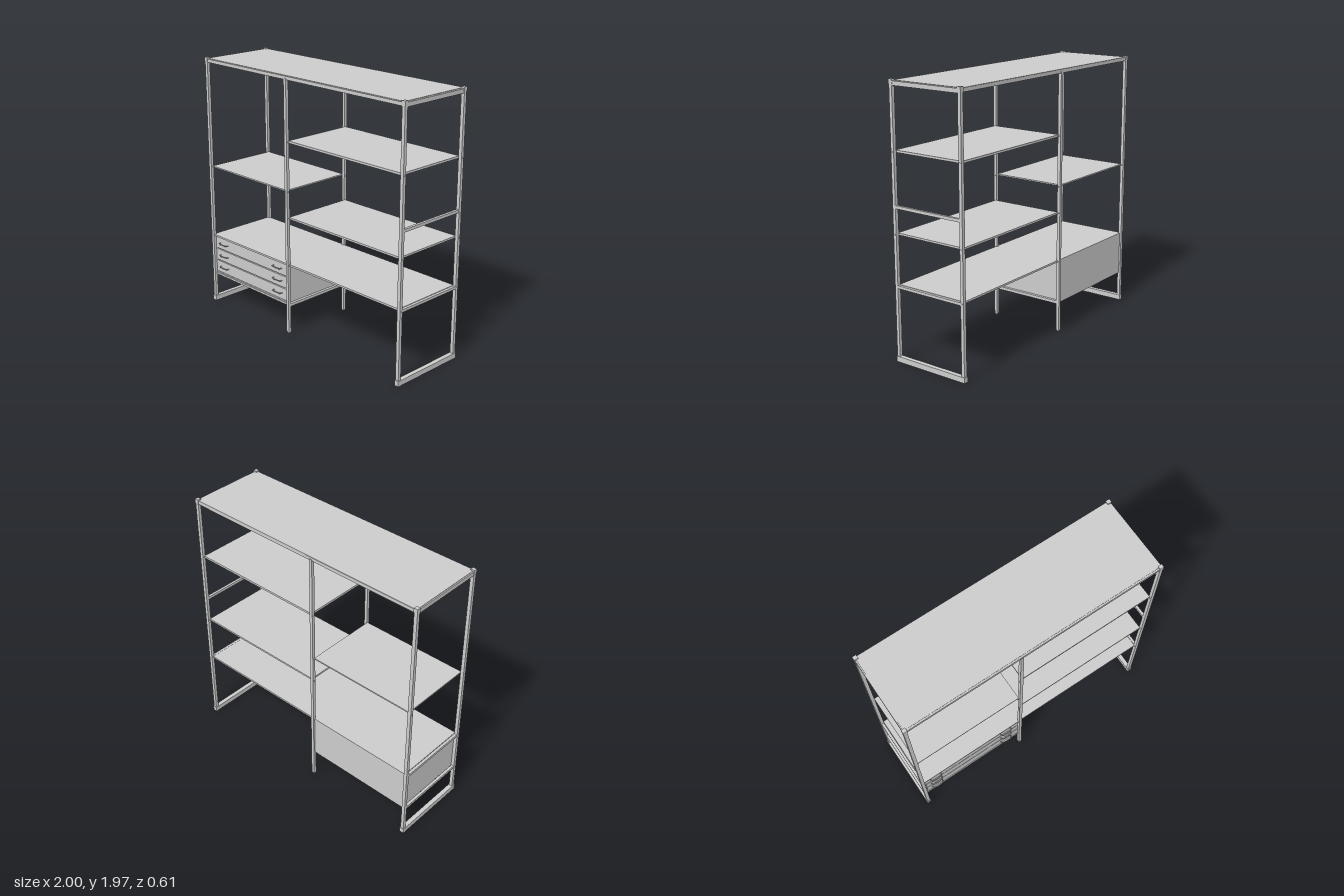
import * as THREE from 'three';

const metal = new THREE.MeshStandardMaterial({ color: 0xcccccc });
metal.name = 'light grey';

// Box given by its limits on each axis
function box(parent, name, x0, x1, y0, y1, z0, z1) {
  const mesh = new THREE.Mesh(new THREE.BoxGeometry(x1 - x0, y1 - y0, z1 - z0), metal);
  mesh.position.set((x0 + x1) / 2, (y0 + y1) / 2, (z0 + z1) / 2);
  mesh.name = name;
  parent.add(mesh);
  return mesh;
}

function group(parent, name) {
  const g = new THREE.Group();
  g.name = name;
  parent.add(g);
  return g;
}

// Thin sheet with turned-down edges and optional ribs underneath
function shelf(parent, name, x0, x1, top, lip, ribs) {
  const g = group(parent, name);
  const z = 0.285;
  box(g, 'shelfSheet', x0, x1, top - 0.005, top, -z, z);
  for (const s of [-1, 1]) {
    const a = s * z, b = s * (z - 0.007);
    box(g, 'shelfLip', x0, x1, top - lip, top - 0.005, Math.min(a, b), Math.max(a, b));
  }
  box(g, 'shelfLip', x0, x0 + 0.007, top - lip, top - 0.005, -z + 0.007, z - 0.007);
  box(g, 'shelfLip', x1 - 0.007, x1, top - lip, top - 0.005, -z + 0.007, z - 0.007);
  for (let i = 1; i <= ribs; i++) {
    const x = x0 + (x1 - x0) * i / (ribs + 1);
    box(g, 'shelfRib', x - 0.004, x + 0.004, top - 0.01, top - 0.005, -z + 0.007, z - 0.007);
  }
  // Support pegs at the posts
  for (const x of [x0 - 0.012, x1 + 0.012]) {
    for (const s of [-1, 1]) {
      const peg = new THREE.Mesh(new THREE.CylinderGeometry(0.005, 0.005, 0.034, 10), metal);
      peg.rotation.z = Math.PI / 2;
      peg.position.set(x, top - 0.008, s * 0.287);
      peg.name = 'shelfPeg';
      g.add(peg);
    }
  }
}

export function createModel() {
  const root = new THREE.Group();
  root.name = 'shelvingUnit';
  const endX = 0.983, midX = -0.112;

  // End frames: posts, foot rails and top rails
  for (const s of [-1, 1]) {
    const frame = group(root, s > 0 ? 'leftEndFrame' : 'rightEndFrame');
    const c = s * endX;
    for (const t of [-1, 1]) {
      box(frame, 'cornerPost', c - 0.013, c + 0.013, 0.04, 1.955, t * 0.288 - 0.012, t * 0.288 + 0.012);
      box(frame, 'postCap', c - 0.015, c + 0.015, 1.935, 1.967, t * 0.288 - 0.014, t * 0.288 + 0.014);
    }
    box(frame, 'footRail', c - 0.017, c + 0.017, 0, 0.04, -0.304, 0.304);
    box(frame, 'topEndRail', c - 0.011, c + 0.011, 1.925, 1.955, -0.276, 0.276);
  }
  box(root, 'endBrace', endX - 0.01, endX + 0.01, 1.1, 1.122, -0.276, 0.276);
  for (const y of [0.225, 0.538]) {
    box(root, 'endBrace', -endX - 0.01, -endX + 0.01, y, y + 0.02, -0.276, 0.276);
  }
  box(root, 'endBrace', endX - 0.01, endX + 0.01, 0.538, 0.558, -0.276, 0.276);

  // Middle frame with rounded feet
  const mid = group(root, 'middleFrame');
  for (const t of [-1, 1]) {
    box(mid, 'middlePost', midX - 0.012, midX + 0.012, 0.015, 1.94, t * 0.288 - 0.012, t * 0.288 + 0.012);
    const foot = new THREE.Mesh(new THREE.CylinderGeometry(0.011, 0.008, 0.012, 12), metal);
    foot.position.set(midX, 0.011, t * 0.288);
    foot.name = 'middleFoot';
    mid.add(foot);
  }
  for (const y of [0.222, 0.535, 1.925]) {
    box(mid, 'middleCrossRail', midX - 0.011, midX + 0.011, y, y + 0.022, -0.276, 0.276);
  }

  // Top panel on its long rails
  const topGroup = group(root, 'top');
  box(topGroup, 'topPanel', -0.985, 0.975, 1.952, 1.958, -0.295, 0.285);
  for (const t of [-1, 1]) {
    box(topGroup, 'topLongRail', -0.97, 0.97, 1.93, 1.955, t * 0.288 - 0.009, t * 0.288 + 0.009);
  }

  // Shelves of the wide bay and the narrow bay
  shelf(root, 'upperShelf', -0.1, 0.97, 1.495, 0.016, 8);
  shelf(root, 'middleShelf', -0.1, 0.97, 0.926, 0.014, 8);
  shelf(root, 'lowerShelf', -0.1, 0.97, 0.56, 0.014, 0);
  shelf(root, 'narrowShelf', -0.97, -0.124, 1.124, 0.01, 0);

  // Drawer cabinet
  const cab = group(root, 'drawerCabinet');
  const l = -0.97, r = -0.124;
  box(cab, 'cabinetTop', l, r + 0.024, 0.546, 0.56, -0.288, 0.288);
  box(cab, 'cabinetBottom', l, r, 0.24, 0.252, -0.28, 0.278);
  box(cab, 'cabinetBack', l, r, 0.24, 0.546, -0.287, -0.279);
  box(cab, 'cabinetSide', l, l + 0.01, 0.24, 0.546, -0.28, 0.278);
  box(cab, 'cabinetSide', r - 0.01, r, 0.24, 0.546, -0.28, 0.278);
  box(cab, 'frontBottomRail', l, r, 0.226, 0.242, 0.265, 0.285);
  box(cab, 'backBottomRail', l, r, 0.226, 0.242, -0.285, -0.265);
  box(cab, 'underRail', l, r, 0.228, 0.24, 0.14, 0.152);

  // Drawers with two bar handles each
  for (let i = 0; i < 3; i++) {
    const y = 0.256 + i * 0.0985;
    const drawer = group(cab, 'drawer');
    box(drawer, 'drawerFront', l + 0.012, r - 0.012, y, y + 0.09, 0.262, 0.28);
    for (const x of [-0.868, -0.238]) {
      const hy = y + 0.048;
      const path = new THREE.CatmullRomCurve3([
        [-0.046, 0.278], [-0.04, 0.298], [-0.025, 0.302], [0.025, 0.302], [0.04, 0.298], [0.046, 0.278],
      ].map(([dx, z]) => new THREE.Vector3(x + dx, hy, z)));
      const handle = new THREE.Mesh(new THREE.TubeGeometry(path, 24, 0.004, 8), metal);
      handle.name = 'drawerHandle';
      drawer.add(handle);
    }
  }
  return root;
}
